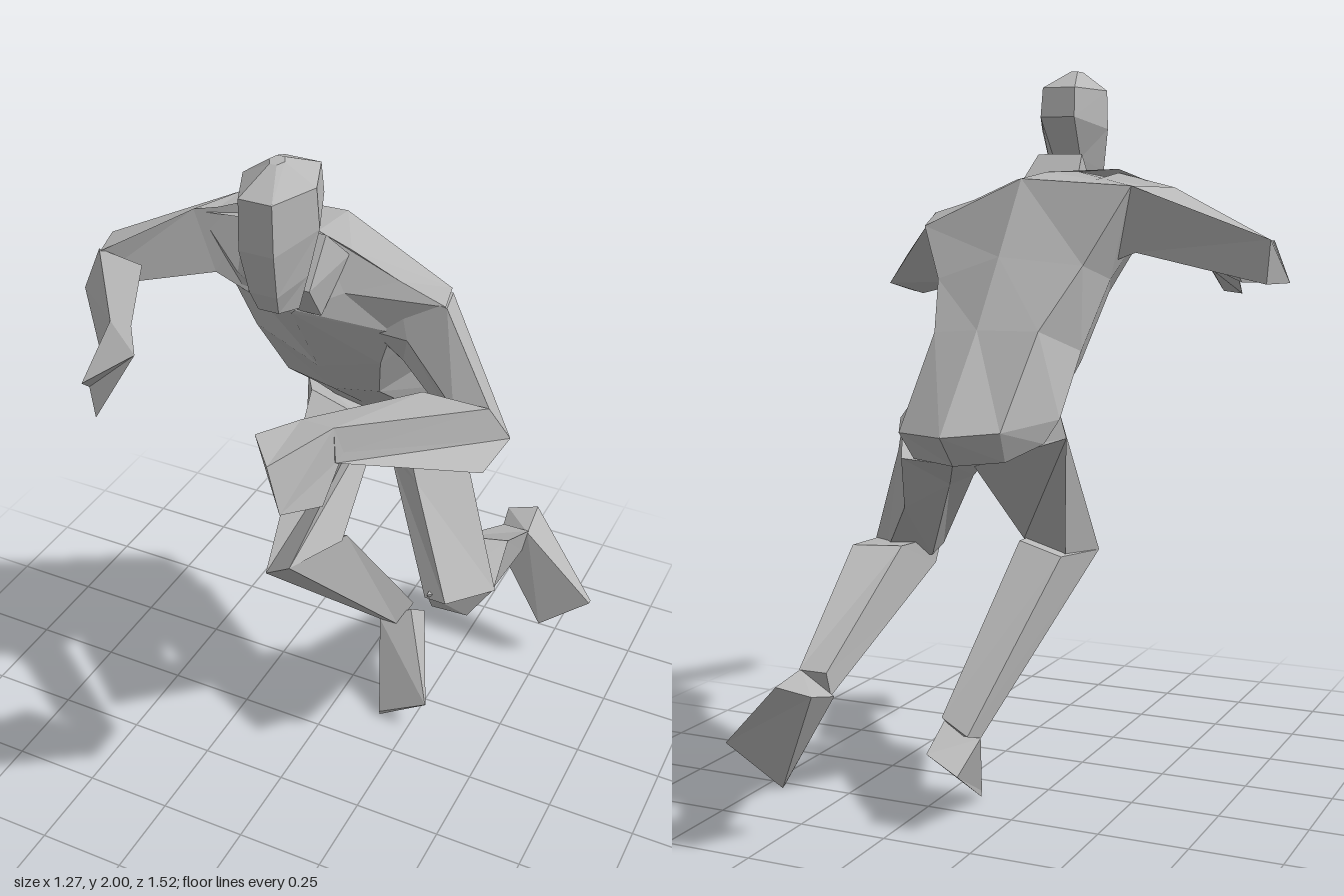
import * as THREE from 'three';

const grey = new THREE.MeshStandardMaterial({ color: 0xb8b8b8, flatShading: true });
grey.name = 'grey';

// Closed faceted skin through matching cross-sections, capped at both ends
function loft(name, rings) {
  const n = rings[0].length, pts = rings.flat(), tris = [];
  for (let r = 0; r < rings.length - 1; r++) {
    for (let i = 0; i < n; i++) {
      const a = r * n + i, b = r * n + (i + 1) % n;
      tris.push([a, b, b + n], [a, b + n, a + n]);
    }
  }
  const last = (rings.length - 1) * n;
  for (let i = 1; i < n - 1; i++) {
    tris.push([0, i + 1, i], [last, last + i, last + i + 1]);
  }
  // Signed volume decides which way the faces must wind
  const v = pts.map(p => new THREE.Vector3(...p));
  const c = v.reduce((s, p) => s.add(p), new THREE.Vector3()).divideScalar(v.length);
  const rel = pts.map(p => new THREE.Vector3(...p).sub(c));
  let volume = 0;
  for (const [a, b, d] of tris) volume += rel[a].dot(rel[b].clone().cross(rel[d]));
  const pos = [];
  for (const [a, b, d] of tris) {
    for (const k of volume > 0 ? [a, b, d] : [a, d, b]) pos.push(...pts[k]);
  }
  const g = new THREE.BufferGeometry();
  g.setAttribute('position', new THREE.Float32BufferAttribute(pos, 3));
  g.computeVertexNormals();
  const mesh = new THREE.Mesh(g, grey);
  mesh.name = name;
  return mesh;
}

// Six-sided head section: height and depth at back and front, and half width
function headRing(yBack, yFront, zBack, zFront, w) {
  const x = 0.035, zm = (zBack + zFront) / 2, ym = (yBack + yFront) / 2;
  return [
    [x + w * 0.45, yFront, zFront], [x + w, ym, zm], [x + w * 0.5, yBack, zBack],
    [x - w * 0.5, yBack, zBack], [x - w, ym, zm], [x - w * 0.45, yFront, zFront],
  ];
}

export function createModel() {
  const model = new THREE.Group();
  model.name = 'runningFigure';

  // Torso, from crotch to neck base; each ring starts at the spine and goes round by the left
  model.add(loft('torso', [
    [[.05, .99, -.48], [.17, 1, -.46], [.2, 1.02, -.38], [.14, 1.01, -.3],
      [.03, 1, -.28], [-.08, 1.02, -.28], [-.14, 1.04, -.35], [-.07, 1, -.43]],
    [[.05, 1.07, -.55], [.19, 1.07, -.5], [.25, 1.09, -.38], [.18, 1.08, -.23],
      [.03, 1.06, -.22], [-.1, 1.1, -.2], [-.17, 1.1, -.32], [-.08, 1.08, -.48]],
    [[.04, 1.32, -.36], [.17, 1.31, -.34], [.21, 1.24, -.2], [.15, 1.22, -.06],
      [.02, 1.2, -.05], [-.12, 1.22, -.06], [-.17, 1.26, -.18], [-.12, 1.32, -.34]],
    [[.035, 1.5, -.24], [.22, 1.44, -.22], [.26, 1.42, -.06], [.2, 1.38, .05],
      [.02, 1.32, .04], [-.16, 1.4, .04], [-.21, 1.44, -.08], [-.19, 1.48, -.22]],
    [[.03, 1.7, -.11], [.34, 1.575, -.065], [.385, 1.61, .09], [.25, 1.51, .1],
      [.01, 1.54, .17], [-.2, 1.55, .06], [-.34, 1.67, .01], [-.285, 1.68, -.13]],
    [[.03, 1.72, .06], [.13, 1.7, .08], [.26, 1.645, .08], [.13, 1.6, .12],
      [.02, 1.55, .17], [-.08, 1.62, .11], [-.2, 1.725, 0], [-.06, 1.72, .06]],
  ]));

  // Neck and head
  model.add(loft('neck', [
    [[-.05, 1.68, .07], [.12, 1.68, .07], [.09, 1.55, .165], [-.04, 1.55, .165]],
    [[-.03, 1.77, .16], [.1, 1.77, .16], [.1, 1.66, .25], [-.03, 1.66, .25]],
  ]));
  model.add(loft('head', [
    headRing(1.64, 1.635, .25, .335, .06),
    headRing(1.76, 1.69, .21, .36, .08),
    headRing(1.87, 1.81, .14, .39, .1),
    headRing(1.95, 1.94, .15, .39, .095),
    headRing(2, 1.995, .26, .3, .02),
  ]));

  // Right arm
  model.add(loft('rightUpperArm', [
    [[-.12, 1.68, -.1], [-.2, 1.715, 0], [-.17, 1.5, .06], [-.2, 1.48, -.08]],
    [[-.285, 1.68, -.13], [-.35, 1.677, .016], [-.27, 1.53, .05], [-.28, 1.51, -.08]],
    [[-.615, 1.545, 0], [-.59, 1.54, .1], [-.635, 1.43, .12], [-.6, 1.43, .02]],
  ]));
  model.add(loft('rightForearm', [
    [[-.635, 1.43, .12], [-.6, 1.54, .09], [-.45, 1.54, .12], [-.51, 1.43, .1]],
    [[-.4, 1.45, .41], [-.37, 1.54, .4], [-.31, 1.54, .4], [-.34, 1.45, .4]],
  ]));
  model.add(loft('rightHand', [
    [[-.4, 1.45, .41], [-.37, 1.54, .4], [-.31, 1.54, .4], [-.33, 1.45, .4]],
    [[-.4, 1.38, .47], [-.35, 1.46, .57], [-.24, 1.53, .5], [-.31, 1.38, .58]],
  ]));

  // Left arm
  model.add(loft('leftUpperArm', [
    [[.22, 1.57, -.08], [.25, 1.62, .07], [.2, 1.5, .1], [.2, 1.42, .02]],
    [[.345, 1.565, -.06], [.39, 1.61, .095], [.3, 1.51, .12], [.27, 1.42, .07]],
    [[.625, 1.4, .25], [.58, 1.49, .285], [.49, 1.46, .28], [.53, 1.37, .28]],
  ]));
  model.add(loft('leftForearm', [
    [[.58, 1.49, .285], [.625, 1.4, .25], [.605, 1.37, .37], [.5, 1.38, .29], [.42, 1.5, .3]],
    [[.33, 1.545, .59], [.35, 1.48, .58], [.34, 1.46, .6], [.27, 1.46, .58], [.24, 1.53, .57]],
  ]));
  model.add(loft('leftHand', [
    [[.24, 1.53, .57], [.33, 1.545, .59], [.345, 1.465, .58], [.27, 1.46, .58]],
    [[.175, 1.53, .67], [.25, 1.52, .757], [.28, 1.4, .757], [.335, 1.375, .655]],
  ]));

  // Left leg, kicked back
  model.add(loft('leftThigh', [
    [[.04, 1, -.26], [.16, 1.06, -.2], [.27, 1.08, -.33], [.2, 1, -.47], [.06, .99, -.46]],
    [[.13, .92, -.2], [.25, .93, -.1], [.34, .98, -.23], [.28, .84, -.31], [.15, .91, -.3]],
    [[.35, .67, .05], [.42, .69, .075], [.52, .69, -.04], [.46, .66, -.09], [.35, .65, -.02]],
  ]));
  model.add(loft('leftShin', [
    [[.36, .69, .06], [.515, .69, -.04], [.45, .59, -.02], [.36, .62, .02]],
    [[.35, .71, -.2], [.48, .71, -.24], [.45, .53, -.25], [.35, .53, -.24]],
    [[.34, .465, -.62], [.42, .465, -.62], [.41, .4, -.6], [.34, .4, -.6]],
  ]));
  model.add(loft('leftFoot', [
    [[.31, .44, -.74], [.4, .46, -.76], [.42, .465, -.61], [.33, .4, -.6]],
    [[.49, .135, -.6], [.635, .25, -.64], [.635, .25, -.625], [.49, .14, -.59]],
  ]));

  // Right leg, reaching forward
  model.add(loft('rightThigh', [
    [[.03, 1, -.23], [-.1, 1.1, -.16], [-.18, 1.05, -.3], [.03, .98, -.4]],
    [[0, .74, .18], [-.09, .67, .15], [-.05, .68, 0], [.065, .72, -.02]],
  ]));
  model.add(loft('rightShin', [
    [[0, .74, .18], [-.09, .67, .15], [-.05, .68, -.03], [.065, .72, -.05]],
    [[.13, .23, -.29], [.07, .23, -.29], [.08, .25, -.35], [.16, .29, -.34]],
  ]));
  model.add(loft('rightFoot', [
    [[.07, .23, -.29], [.16, .28, -.32], [.17, .21, -.41], [.08, .16, -.41]],
    [[.15, .015, -.12], [.3, .105, -.12], [.3, .1, -.125], [.15, 0, -.125]],
  ]));

  return model;
}
